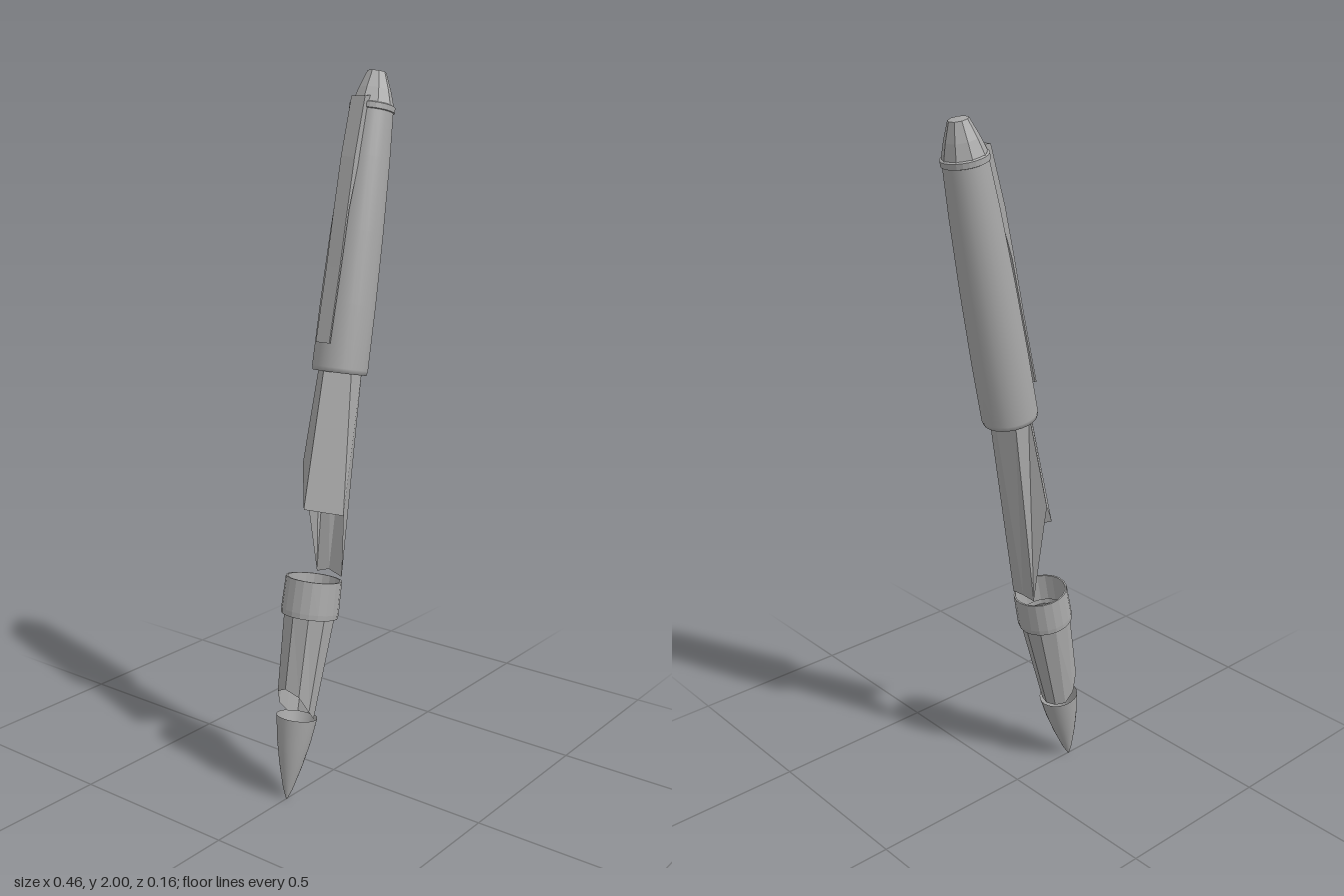
import * as THREE from 'three';

const grey = new THREE.MeshStandardMaterial({ color: 0xa8a8a8, side: THREE.DoubleSide });
grey.name = 'grey';

function part(name, geometry) {
  const mesh = new THREE.Mesh(geometry, grey);
  mesh.name = name;
  return mesh;
}

// Turned part from [radius, height] pairs; faceted when smooth is false
function turned(name, profile, sides, smooth = true) {
  let g = new THREE.LatheGeometry(profile.map(([r, y]) => new THREE.Vector2(r, y)), sides);
  if (!smooth) {
    g = g.toNonIndexed();
    g.computeVertexNormals();
  }
  return part(name, g);
}

// Faceted open shell between two rings of [x, y, z] corners
function shell(name, top, bottom) {
  const pos = [];
  top.forEach((a, i) => {
    const j = (i + 1) % top.length;
    pos.push(...a, ...bottom[i], ...top[j], ...top[j], ...bottom[i], ...bottom[j]);
  });
  const g = new THREE.BufferGeometry();
  g.setAttribute('position', new THREE.Float32BufferAttribute(pos, 3));
  g.computeVertexNormals();
  return part(name, g);
}

export function createModel() {
  const root = new THREE.Group();
  root.name = 'pen';

  // Everything turned lies along one leaning axis that starts at the tip
  const axis = new THREE.Group();
  axis.name = 'leaningAxis';
  axis.position.set(-0.217, 0, 0);
  axis.rotation.z = -Math.atan(0.205);
  root.add(axis);

  // Writing tip, open at its top
  axis.add(turned('tip', [[0.002, 0], [0.014, 0.03], [0.033, 0.1], [0.048, 0.17], [0.058, 0.24]], 24));

  // Lower barrel, cut away obliquely on the clip side
  const barrelTop = [], barrelBottom = [];
  for (let i = 0; i < 10; i++) {
    const a = (i / 10) * Math.PI * 2, c = Math.cos(a), s = Math.sin(a);
    const cut = Math.max(0, -c);
    const r = 0.05 + 0.018 * cut;
    barrelTop.push([0.074 * c, 0.535, 0.074 * s]);
    barrelBottom.push([r * c, 0.24 + 0.085 * cut, r * s]);
  }
  axis.add(shell('lowerBarrel', barrelTop, barrelBottom));

  // Collar, open at its top
  axis.add(turned('collar', [[0.072, 0.53], [0.08, 0.53], [0.081, 0.545], [0.079, 0.635], [0.074, 0.635], [0.072, 0.55]], 20, false));

  // Broken grip: the right wall reaches lower than the left one
  root.add(shell('grip',
    [[-0.04, 1.22, 0], [0.01, 1.22, 0.055], [0.06, 1.22, 0.055], [0.086, 1.22, 0], [0.06, 1.22, -0.055], [0.01, 1.22, -0.055]],
    [[-0.133, 0.83, 0], [-0.06, 0.81, 0.08], [-0.032, 0.62, 0.053], [-0.022, 0.63, 0], [-0.032, 0.62, -0.035], [-0.04, 0.93, -0.078]]));

  // Cap with a rolled lip
  axis.add(turned('cap', [[0.064, 1.225], [0.068, 1.212], [0.075, 1.212], [0.078, 1.225], [0.077, 1.4], [0.073, 1.6], [0.066, 1.8], [0.059, 1.93]], 24));
  axis.add(turned('capBand', [[0.058, 1.925], [0.063, 1.927], [0.063, 1.942], [0.057, 1.945]], 24, false));

  // Faceted end piece
  axis.add(turned('endPiece', [[0.06, 1.94], [0.046, 1.985], [0.027, 2.033], [0, 2.035]], 9, false));

  // Clip, a thin blade that thickens where it joins the cap
  const outline = [[0.15, 1.93], [0.108, 1.928], [0.062, 1.77], [0.03, 1.63], [-0.002, 1.48], [-0.049, 1.28],
    [-0.044, 1.28], [0.004, 1.48], [0.038, 1.63], [0.085, 1.77], [0.15, 1.87]];
  const clip = new THREE.ExtrudeGeometry(
    new THREE.Shape(outline.map(([x, y]) => new THREE.Vector2(x, y))),
    { depth: 0.046, bevelEnabled: false });
  clip.translate(0, 0, -0.023);
  root.add(part('clip', clip));

  return root;
}
